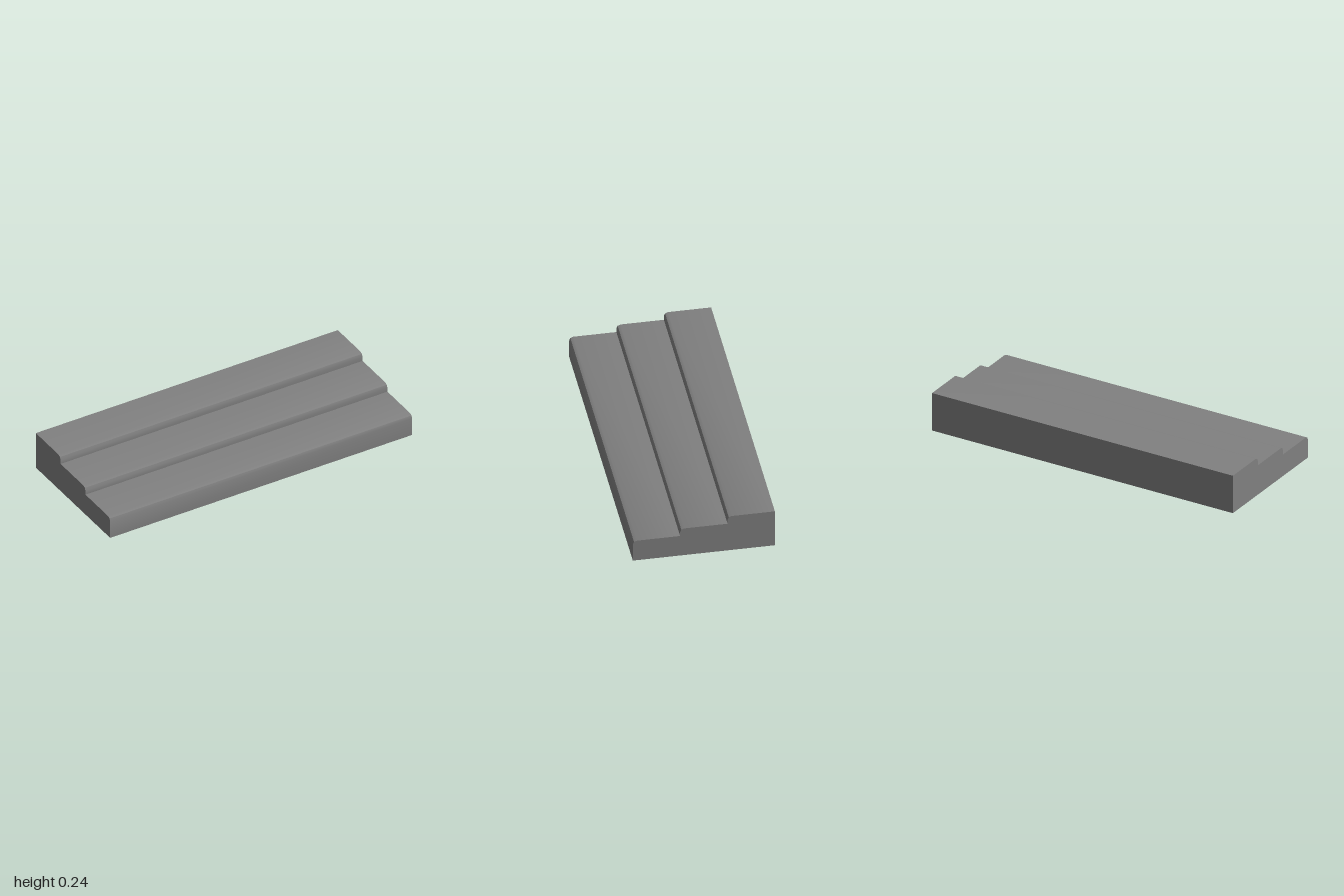
import * as THREE from 'three';
import { toCreasedNormals } from 'three/addons/utils/BufferGeometryUtils.js';

const HALF_LENGTH = 1;
const HALF_DEPTH = 0.41;

// Each step: z of its front face, height of its tread
const STEPS = [[HALF_DEPTH, 0.137], [0.137, 0.187], [-0.137, 0.238]];

// Side outline as [z, y], from the front foot up over the rounded nosings to the back foot
function stepProfile() {
  const points = [[HALF_DEPTH, 0]];
  STEPS.forEach(([z, y], i) => {
    if (i > 0) points.push([z, STEPS[i - 1][1]]);
    points.push([z, y - 0.024], [z - 0.007, y - 0.007], [z - 0.024, y]);
  });
  points.push([-HALF_DEPTH, STEPS[2][1]], [-HALF_DEPTH, 0]);
  return points;
}

// Thin skin swept along x, open underneath
function sweptSkin(profile) {
  const positions = [];
  for (let i = 0; i < profile.length - 1; i++) {
    const [z0, y0] = profile[i];
    const [z1, y1] = profile[i + 1];
    const a = [-HALF_LENGTH, y0, z0], b = [HALF_LENGTH, y0, z0];
    const c = [HALF_LENGTH, y1, z1], d = [-HALF_LENGTH, y1, z1];
    positions.push(...a, ...b, ...c, ...a, ...c, ...d);
  }
  const geometry = new THREE.BufferGeometry();
  geometry.setAttribute('position', new THREE.Float32BufferAttribute(positions, 3));
  return toCreasedNormals(geometry, Math.PI / 4);
}

// Flat end wall, facing outwards on the given side
function endWall(profile, side) {
  const shape = new THREE.Shape(profile.map(([z, y]) => new THREE.Vector2(-side * z, y)));
  const geometry = new THREE.ShapeGeometry(shape);
  geometry.rotateY(side * Math.PI / 2);
  geometry.translate(side * HALF_LENGTH, 0, 0);
  return geometry;
}

export function createModel() {
  const group = new THREE.Group();
  group.name = 'steppedPlatform';

  const grey = new THREE.MeshStandardMaterial({ color: 0x808080, side: THREE.DoubleSide });
  grey.name = 'grey';

  const profile = stepProfile();
  const add = (name, geometry) => {
    const mesh = new THREE.Mesh(geometry, grey);
    mesh.name = name;
    group.add(mesh);
  };

  add('treadsAndRisers', sweptSkin(profile));
  add('leftEndWall', endWall(profile, 1));
  add('rightEndWall', endWall(profile, -1));
  return group;
}
